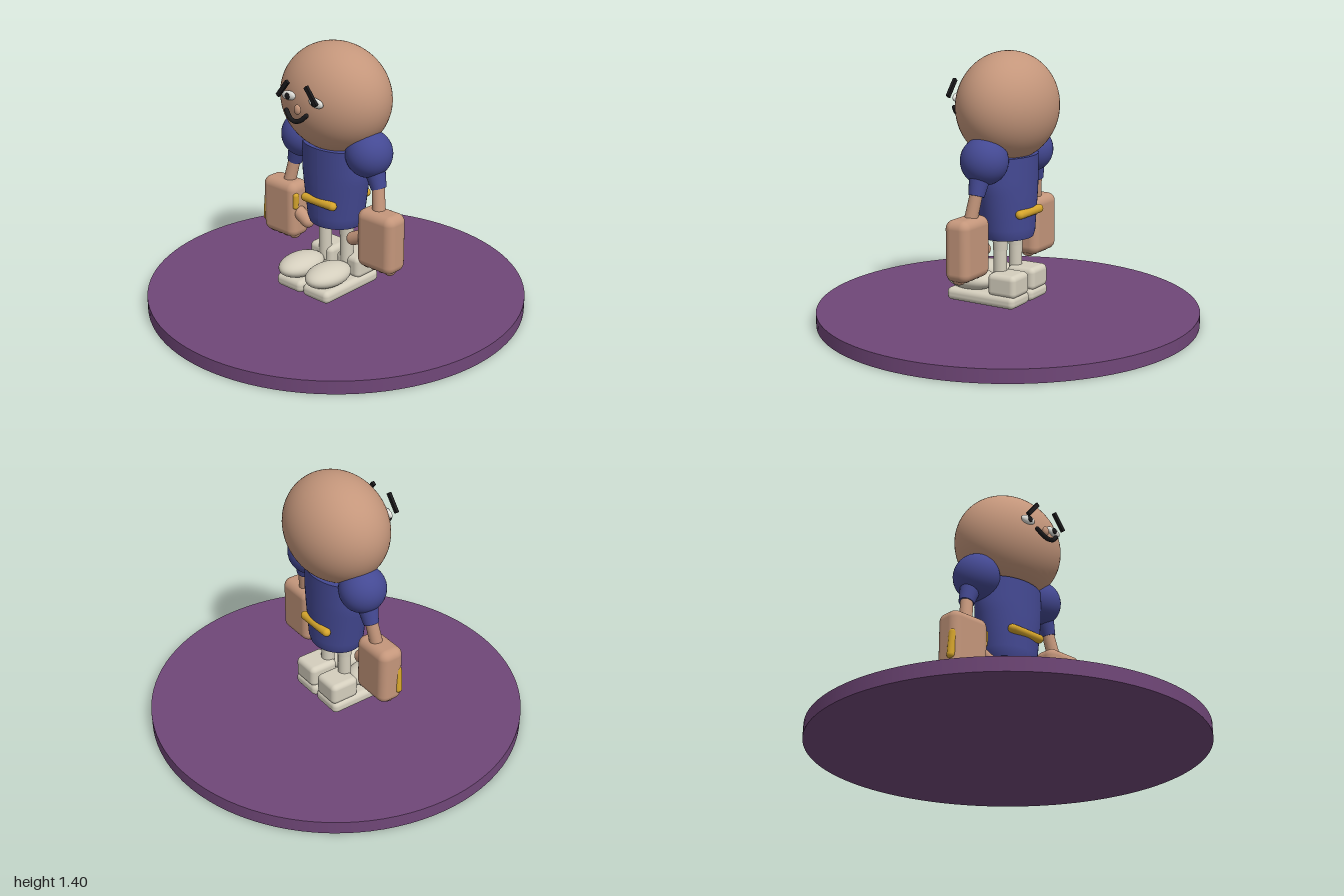
import * as THREE from 'three';
import { RoundedBoxGeometry } from 'three/addons/geometries/RoundedBoxGeometry.js';

const mat = (name, color) => {
  const m = new THREE.MeshStandardMaterial({ color });
  m.name = name;
  return m;
};
const V = (x, y, z) => new THREE.Vector3(x, y, z);

export function createModel() {
  const skin = mat('skin', 0xc4967b);
  const blue = mat('blue cloth', 0x444993);
  const purple = mat('purple base', 0x704778);
  const gold = mat('gold', 0xd6a52c);
  const cream = mat('cream', 0xd4cebd);
  const white = mat('eye white', 0xe2e2dc);
  const black = mat('black', 0x1b1a1c);

  const model = new THREE.Group();
  model.name = 'figureOnDisc';

  const add = (parent, name, geo, material, x = 0, y = 0, z = 0) => {
    const mesh = new THREE.Mesh(geo, material);
    mesh.name = name;
    mesh.position.set(x, y, z);
    parent.add(mesh);
    return mesh;
  };
  const ellipsoid = (parent, name, material, pos, rx, ry, rz, seg = 32) =>
    add(parent, name, new THREE.SphereGeometry(1, seg, seg * 0.75).scale(rx, ry, rz), material, ...pos);
  // Places a geometry built along y so that it runs from a to b
  const along = (mesh, a, b) => {
    mesh.position.copy(a).lerp(b, 0.5);
    mesh.quaternion.setFromUnitVectors(V(0, 1, 0), b.clone().sub(a).normalize());
    return mesh;
  };
  const rod = (parent, name, material, a, b, r0, r1) =>
    along(add(parent, name, new THREE.CylinderGeometry(r1, r0, a.distanceTo(b), 24), material), a, b);
  const capsule = (parent, name, material, a, b, r) =>
    along(add(parent, name, new THREE.CapsuleGeometry(r, a.distanceTo(b), 8, 20), material), a, b);

  // Base disc
  add(model, 'baseDisc', new THREE.CylinderGeometry(1, 1, 0.07, 96), purple, 0, 0.035, 0);

  // Head
  ellipsoid(model, 'head', skin, [0, 1.12, 0], 0.31, 0.282, 0.25, 56);

  // Torso: x narrows towards the hem, depth stays nearly even
  const torso = new THREE.CylinderGeometry(1, 1, 0.43, 48, 16);
  const p = torso.attributes.position;
  for (let i = 0; i < p.count; i++) {
    const t = (p.getY(i) + 0.215) / 0.43;
    const hem = t < 0.05 ? 0.95 : 1;
    const rx = 0.155 + 0.045 * Math.min(1, t / 0.65);
    const rz = 0.135 + 0.005 * Math.min(1, t / 0.5);
    p.setX(i, p.getX(i) * rx * hem);
    p.setZ(i, p.getZ(i) * rz * hem);
  }
  torso.computeVertexNormals();
  add(model, 'torso', torso, blue, 0, 0.657, 0);

  // Belt bars, front and back
  for (const s of [1, -1]) {
    capsule(model, s > 0 ? 'beltFront' : 'beltBack', gold, V(-0.095, 0.582, s * 0.13), V(0.095, 0.582, s * 0.13), 0.023);
  }

  // Arms, hands, legs and shoes on both sides
  for (const s of [1, -1]) {
    const side = s > 0 ? 'left' : 'right';
    const arm = new THREE.Group();
    arm.name = side + 'Arm';
    model.add(arm);
    ellipsoid(arm, 'shoulder', blue, [s * 0.225, 0.868, 0], 0.12, 0.123, 0.123, 36);
    rod(arm, 'sleeve', blue, V(s * 0.295, 0.7, 0.003), V(s * 0.25, 0.84, 0), 0.04, 0.062);
    rod(arm, 'forearm', skin, V(s * 0.318, 0.57, 0.025), V(s * 0.288, 0.74, 0), 0.034, 0.032);
    add(arm, 'palm', new RoundedBoxGeometry(0.235, 0.315, 0.14, 5, 0.045), skin, s * 0.338, 0.44, 0.03);
    for (let i = 0; i < 4; i++) {
      ellipsoid(arm, 'finger', skin, [s * (0.266 + i * 0.048), 0.3, 0.035], 0.026, 0.034, 0.042, 16);
    }
    capsule(arm, 'thumb', skin, V(s * 0.24, 0.435, 0.04), V(s * 0.163, 0.398, 0.045), 0.036);

    const leg = new THREE.Group();
    leg.name = side + 'Leg';
    model.add(leg);
    add(leg, 'shin', new THREE.CylinderGeometry(0.036, 0.035, 0.24, 28), cream, s * 0.076, 0.32, 0);
    add(leg, 'thigh', new THREE.CylinderGeometry(0.042, 0.037, 0.1, 28), cream, s * 0.076, 0.43, 0);
    add(leg, 'sole', new RoundedBoxGeometry(0.18, 0.068, 0.41, 4, 0.028), cream, s * 0.094, 0.132, 0.065);
    add(leg, 'heel', new RoundedBoxGeometry(0.16, 0.12, 0.165, 4, 0.028), cream, s * 0.096, 0.213, -0.06);
    ellipsoid(leg, 'toe', cream, [s * 0.096, 0.212, 0.163], 0.095, 0.058, 0.143);
  }

  // Gold trim showing around the edges of the right hand
  const trim = new THREE.Group();
  trim.name = 'goldTrim';
  model.add(trim);
  capsule(trim, 'outerTrim', gold, V(-0.447, 0.352, 0.068), V(-0.437, 0.47, 0.068), 0.021);
  capsule(trim, 'upperTrim', gold, V(-0.437, 0.47, 0.068), V(-0.411, 0.576, 0.065), 0.017);
  capsule(trim, 'innerTrim', gold, V(-0.228, 0.53, 0.068), V(-0.232, 0.47, 0.068), 0.018);

  // Face
  const face = new THREE.Group();
  face.name = 'face';
  model.add(face);
  for (const s of [1, -1]) {
    const eye = ellipsoid(face, 'eye', white, [s * 0.093, 1.16, 0.243], 0.047, 0.024, 0.016, 24);
    eye.rotation.z = -s * 0.1;
    ellipsoid(face, 'pupil', black, [s * 0.09, 1.16, 0.257], 0.016, 0.017, 0.007, 16);
    const brow = add(face, 'brow', new THREE.BoxGeometry(0.022, 0.108, 0.016), black, s * 0.096, 1.204, 0.281);
    brow.rotation.z = s * 0.68;
  }
  ellipsoid(face, 'nose', skin, [0, 1.115, 0.278], 0.02, 0.026, 0.014, 20);

  // Smile
  const smile = new THREE.CatmullRomCurve3([
    V(-0.068, 1.1, 0.285), V(-0.035, 1.07, 0.295), V(0, 1.06, 0.298), V(0.035, 1.07, 0.295), V(0.068, 1.1, 0.285),
  ]);
  add(face, 'mouth', new THREE.TubeGeometry(smile, 24, 0.012, 10, false), black);
  for (const s of [1, -1]) ellipsoid(face, 'mouthCorner', black, [s * 0.068, 1.1, 0.285], 0.012, 0.012, 0.012, 12);

  return model;
}
